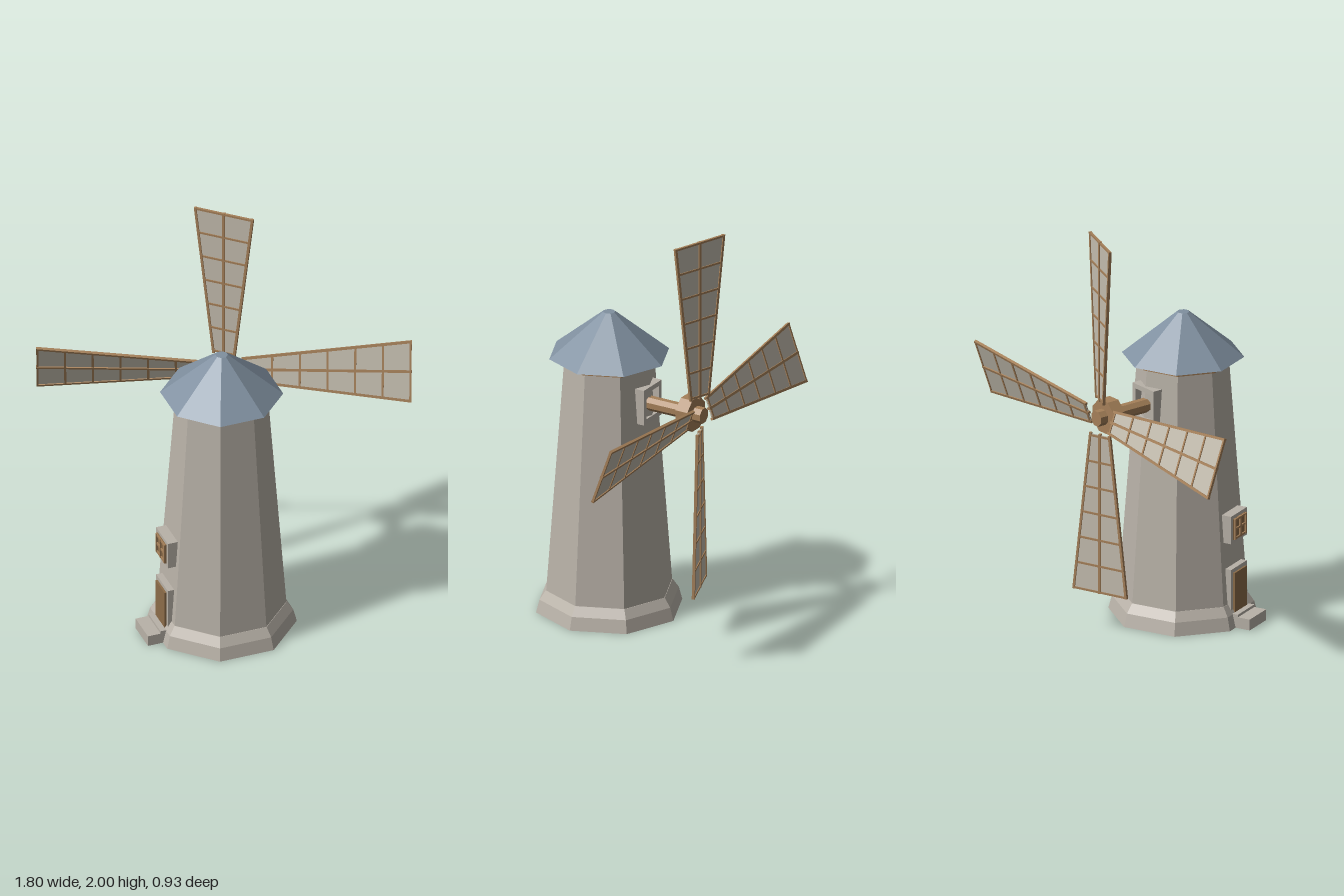
import * as THREE from 'three';

const mat = (name, color, opts = {}) => {
  const m = new THREE.MeshStandardMaterial({ color, flatShading: true, ...opts });
  m.name = name;
  return m;
};

export function createModel() {
  const stone = mat('stone', 0xb9b2a8);
  const wood = mat('wood', 0xa58059);
  const doorWood = mat('door wood', 0x8c6c48);
  const sailCloth = mat('sail cloth', 0xc3bcae);
  const slate = mat('roof slate', 0x8090a0);

  const model = new THREE.Group();
  model.name = 'windmill';

  const add = (parent, name, geo, material, x = 0, y = 0, z = 0) => {
    const m = new THREE.Mesh(geo, material);
    m.name = name;
    m.position.set(x, y, z);
    parent.add(m);
    return m;
  };
  const box = (parent, name, w, h, d, material, x, y, z) =>
    add(parent, name, new THREE.BoxGeometry(w, h, d), material, x, y, z);

  // Rectangular surround with an opening, standing from z0 to z1
  const surround = (parent, name, w, y0, y1, border, z0, z1) => {
    const rect = (C, x, a, b) =>
      new C([[-x, a], [x, a], [x, b], [-x, b]].map((p) => new THREE.Vector2(...p)));
    const shape = rect(THREE.Shape, w, y0, y1);
    shape.holes.push(rect(THREE.Path, w - border, y0 + border, y1 - border));
    const geo = new THREE.ExtrudeGeometry(shape, { depth: z1 - z0, bevelEnabled: false });
    return add(parent, name, geo, stone, 0, 0, z0);
  };

  // Eight-sided tower: plinth, walls, eaves ring and roof
  const tower = new THREE.Group();
  tower.name = 'tower';
  tower.position.z = 0.1;
  model.add(tower);
  const tier = (name, r0, r1, y0, y1, material) =>
    add(tower, name, new THREE.CylinderGeometry(r1, r0, y1 - y0, 8), material, 0, (y0 + y1) / 2, 0);
  tier('plinth', 0.36, 0.343, 0, 0.065, stone);
  tier('plinthSlope', 0.343, 0.312, 0.065, 0.11, stone);
  tier('walls', 0.31, 0.222, 0.11, 1.29, stone);
  tier('eavesRing', 0.243, 0.243, 1.285, 1.31, wood);
  tier('roof', 0.295, 0.03, 1.31, 1.53, slate);

  // Door, steps and window on one wall facet
  const facet = new THREE.Group();
  facet.name = 'entranceFacet';
  facet.rotation.y = THREE.MathUtils.degToRad(-67.5);
  tower.add(facet);
  box(facet, 'lowerStep', 0.163, 0.055, 0.13, stone, 0, 0.0275, 0.345);
  box(facet, 'upperStep', 0.163, 0.068, 0.07, stone, 0, 0.034, 0.31);
  surround(facet, 'doorFrame', 0.078, 0.05, 0.288, 0.02, 0.255, 0.306);
  box(facet, 'door', 0.118, 0.2, 0.06, doorWood, 0, 0.168, 0.286);
  surround(facet, 'windowFrame', 0.078, 0.42, 0.56, 0.018, 0.245, 0.306);
  box(facet, 'windowPanel', 0.118, 0.105, 0.06, doorWood, 0, 0.49, 0.28);
  for (const x of [-0.052, 0, 0.052])
    box(facet, 'windowPost', 0.012, 0.105, 0.012, wood, x, 0.49, 0.312);
  for (const y of [0.443, 0.49, 0.537])
    box(facet, 'windowRail', 0.116, 0.01, 0.01, wood, 0, y, 0.312);

  // Shaft surround, shaft and hub at the back
  const axleY = 1.105;
  surround(model, 'shaftSurround', 0.082, 1.02, 1.2, 0.024, -0.145, -0.09);
  const turned = (name, r, z0, z1) => {
    const m = add(model, name, new THREE.CylinderGeometry(r, r, z1 - z0, 8), wood, 0, axleY, (z0 + z1) / 2);
    m.rotation.set(Math.PI / 2, Math.PI / 8, 0);
  };
  turned('shaft', 0.036, -0.34, -0.08);
  turned('hub', 0.088, -0.388, -0.322);
  turned('hubCap', 0.04, -0.432, -0.385);

  // Four pitched sails, each a tapered panel in a wooden lattice
  const r0 = 0.09, r1 = 0.893;
  const halfWidth = (r) => 0.053 + (0.093 * (r - r0)) / (r1 - r0);
  const beam = (parent, name, a, b, t, depth) => {
    const dx = b[0] - a[0], dy = b[1] - a[1];
    const m = box(parent, name, Math.hypot(dx, dy) + t, t, depth, wood,
      (a[0] + b[0]) / 2, (a[1] + b[1]) / 2, 0);
    m.rotation.z = Math.atan2(dy, dx);
  };
  const rotor = new THREE.Group();
  rotor.name = 'sails';
  rotor.position.set(0, axleY, -0.407);
  model.add(rotor);
  for (let i = 0; i < 4; i++) {
    const arm = new THREE.Group();
    arm.name = 'sailArm';
    arm.rotation.z = (i * Math.PI) / 2;
    const sail = new THREE.Group();
    sail.name = 'sail';
    sail.rotation.x = THREE.MathUtils.degToRad(-20);
    arm.add(sail);
    rotor.add(arm);

    const w0 = halfWidth(r0), w1 = halfWidth(r1);
    const outline = new THREE.Shape(
      [[r0, -w0], [r1, -w1], [r1, w1], [r0, w0]].map((p) => new THREE.Vector2(...p)));
    add(sail, 'cloth', new THREE.ExtrudeGeometry(outline, { depth: 0.004, bevelEnabled: false }),
      sailCloth, 0, 0, -0.002);
    for (const s of [-1, 1]) beam(sail, 'edgeBar', [r0, s * w0], [r1, s * w1], 0.012, 0.014);
    beam(sail, 'spar', [r0, 0], [r1, 0], 0.012, 0.016);
    for (let k = 0; k < 7; k++) {
      const r = r0 + 0.008 + (k * (r1 - r0 - 0.008)) / 6;
      beam(sail, 'crossBar', [r, -halfWidth(r)], [r, halfWidth(r)], 0.01, 0.012);
    }
  }
  return model;
}
